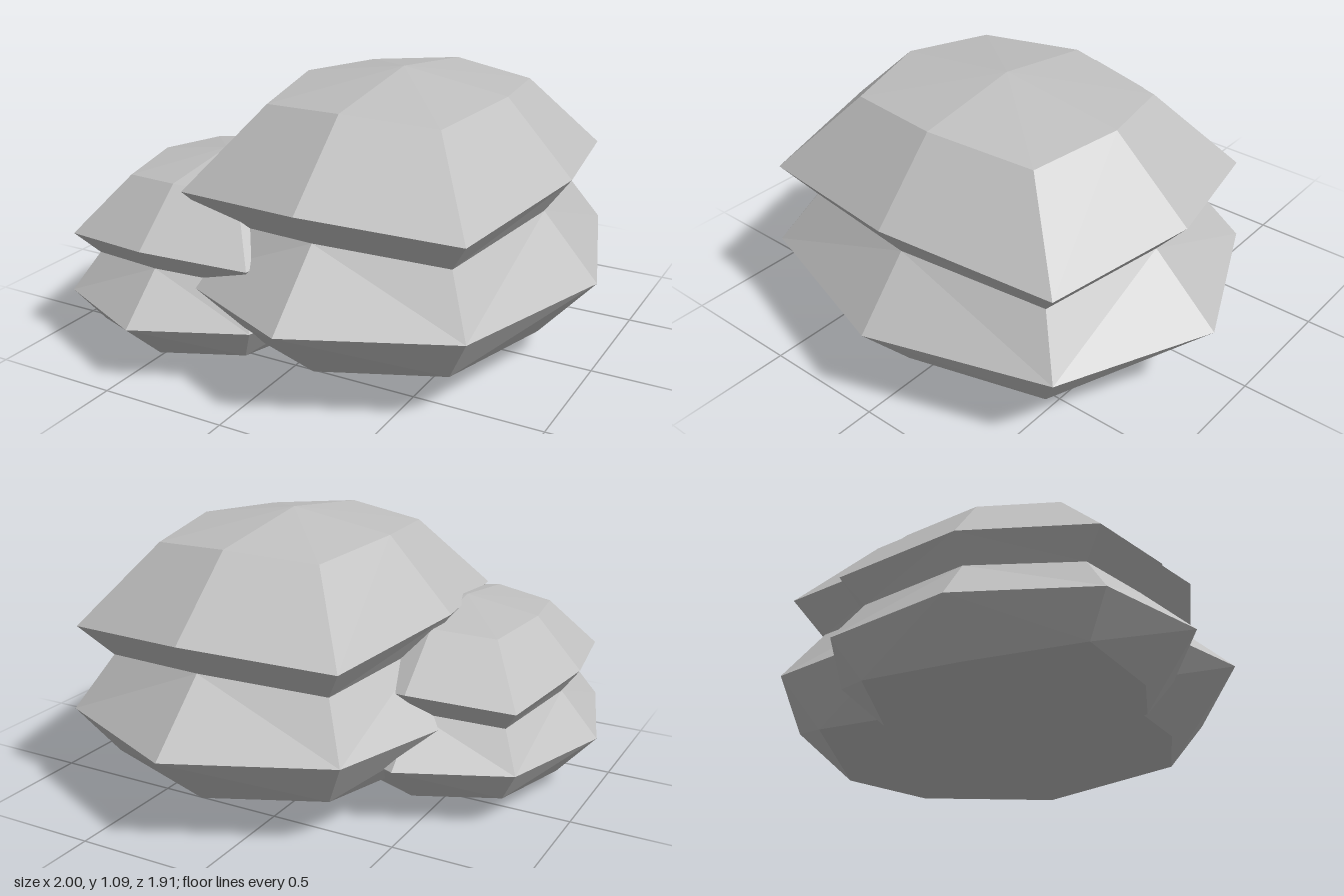
import * as THREE from 'three';

// Eight-sided rings from bottom to top. Corners alternate between the axes and
// the diagonals: [axis x, axis z, axis y, diagonal x, diagonal z, diagonal y]
const RINGS = [
  [0, 0, 0.024, 0, 0, 0.024],                // bottom point
  [0.585, 0.69, 0.115, 0.475, 0.57, 0.16],   // underside edge
  [0.803, 0.953, 0.36, 0.585, 0.69, 0.36],   // widest belt
  [0.585, 0.69, 0.607, 0.475, 0.57, 0.563],  // pinched waist
  [0.683, 0.81, 0.742, 0.565, 0.67, 0.692],  // overhanging rim
  [0.423, 0.5, 1.02, 0.35, 0.415, 0.99],     // crown edge
  [0, 0, 1.087, 0, 0, 1.087],                // top point
];

function ringPoint([ax, az, ay, dx, dz, dy], i) {
  const a = (i % 8) * Math.PI / 4;
  const sx = Math.sign(Math.round(Math.cos(a) * 10));
  const sz = Math.sign(Math.round(Math.sin(a) * 10));
  return i % 2 ? [sx * dx, dy, sz * dz] : [sx * ax, ay, sz * az];
}

// Faceted two-tier boulder lofted through the rings
function boulderGeometry() {
  const pos = [];
  const last = RINGS.length - 2;
  for (let r = 0; r <= last; r++) {
    for (let i = 0; i < 8; i++) {
      const a = ringPoint(RINGS[r], i), b = ringPoint(RINGS[r], i + 1);
      const c = ringPoint(RINGS[r + 1], i), d = ringPoint(RINGS[r + 1], i + 1);
      if (r === 0) pos.push(...a, ...c, ...d);
      else if (r === last) pos.push(...a, ...c, ...b);
      // split each quad mirror-symmetrically
      else if (i % 2) pos.push(...a, ...c, ...d, ...a, ...d, ...b);
      else pos.push(...a, ...c, ...b, ...b, ...c, ...d);
    }
  }
  const geo = new THREE.BufferGeometry();
  geo.setAttribute('position', new THREE.Float32BufferAttribute(pos, 3));
  geo.computeVertexNormals();
  return geo;
}

export function createModel() {
  const stone = new THREE.MeshStandardMaterial({ color: 0xc0c0c0 });
  stone.name = 'stone grey';
  stone.flatShading = true;

  const group = new THREE.Group();
  group.name = 'boulders';
  const geo = boulderGeometry();

  const large = new THREE.Mesh(geo, stone);
  large.name = 'largeBoulder';
  large.position.set(0.195, 0, 0);

  const small = new THREE.Mesh(geo, stone);
  small.name = 'smallBoulder';
  small.scale.setScalar(0.7);
  small.position.set(-0.438, -0.015, 0.278);

  group.add(large, small);
  return group;
}
